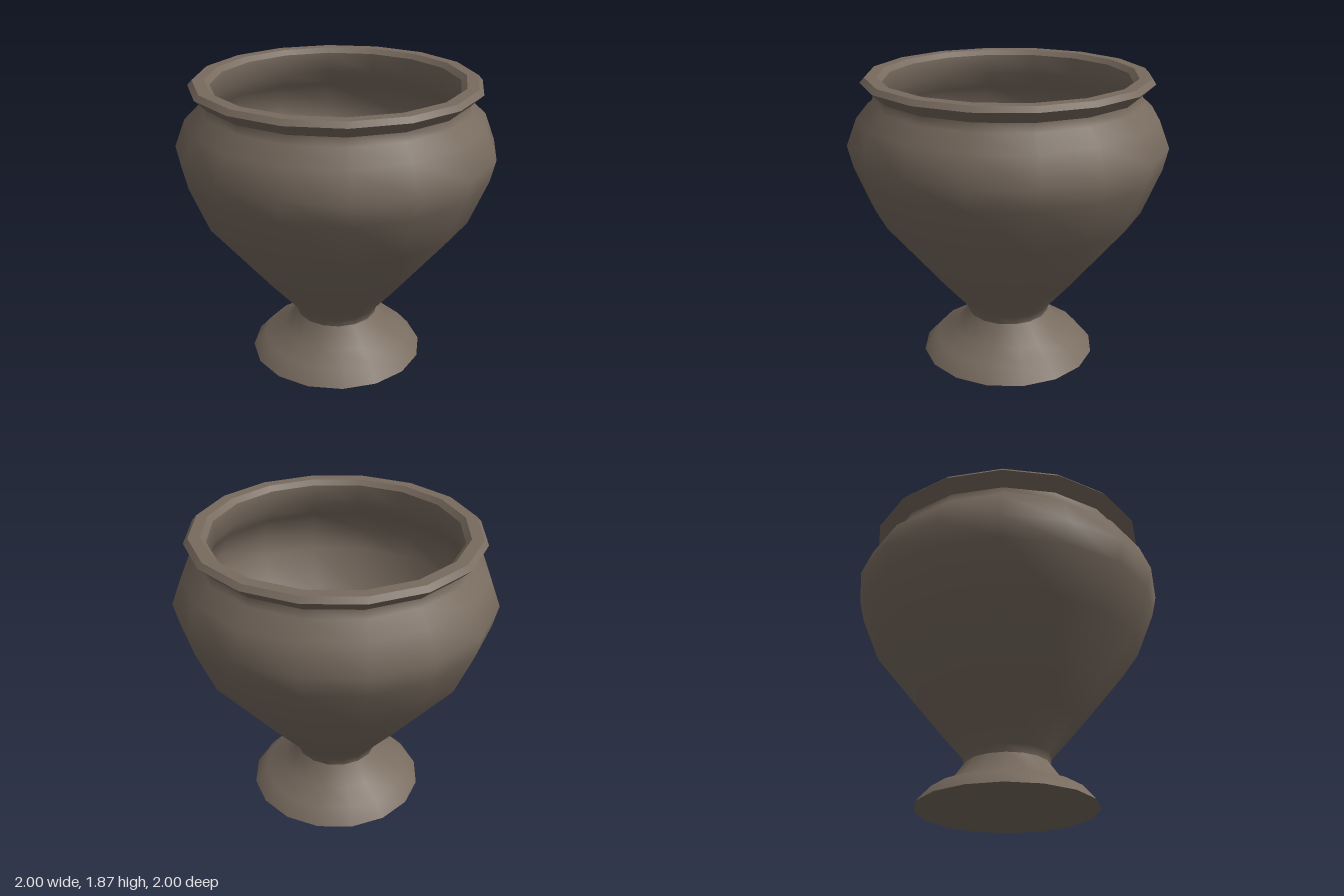
import * as THREE from 'three';

const SIDES = 16;

export function createModel() {
  const urn = new THREE.Group();
  urn.name = 'urn';

  const stone = new THREE.MeshStandardMaterial({ color: 0x786b5f });
  stone.name = 'brown stone';

  // Each ring is turned from its own profile of [radius, height], so joints between rings stay sharp
  const turn = (name, profile) => {
    const points = profile.map(([r, y]) => new THREE.Vector2(r, y));
    const mesh = new THREE.Mesh(new THREE.LatheGeometry(points, SIDES), stone);
    mesh.name = name;
    urn.add(mesh);
  };

  // Foot
  turn('footUnderside', [[0, 0], [0.57, 0]]);
  turn('foot', [[0.57, 0], [0.487, 0.095], [0.358, 0.152], [0.268, 0.278]]);

  // Bowl, from the narrow stem up to the neck
  turn('bowlOutside', [
    [0.268, 0.278], [0.28, 0.33], [0.465, 0.545], [0.852, 1.025],
    [0.968, 1.315], [1, 1.455], [0.933, 1.627], [0.835, 1.717], [0.825, 1.77],
  ]);

  // Flared rim with bevelled edges
  turn('rimUnderside', [[0.825, 1.77], [0.9, 1.842]]);
  turn('rimOuterBevel', [[0.9, 1.842], [0.872, 1.872]]);
  turn('rimTop', [[0.872, 1.872], [0.8, 1.872]]);
  turn('rimInnerBevel', [[0.8, 1.872], [0.768, 1.842]]);

  // Hollow inside and its flat floor
  turn('bowlInside', [
    [0.768, 1.842], [0.765, 1.71], [0.86, 1.6], [0.925, 1.45],
    [0.895, 1.32], [0.785, 1.06], [0.4, 0.59], [0.182, 0.35],
  ]);
  turn('bowlFloor', [[0.182, 0.35], [0, 0.35]]);

  return urn;
}
